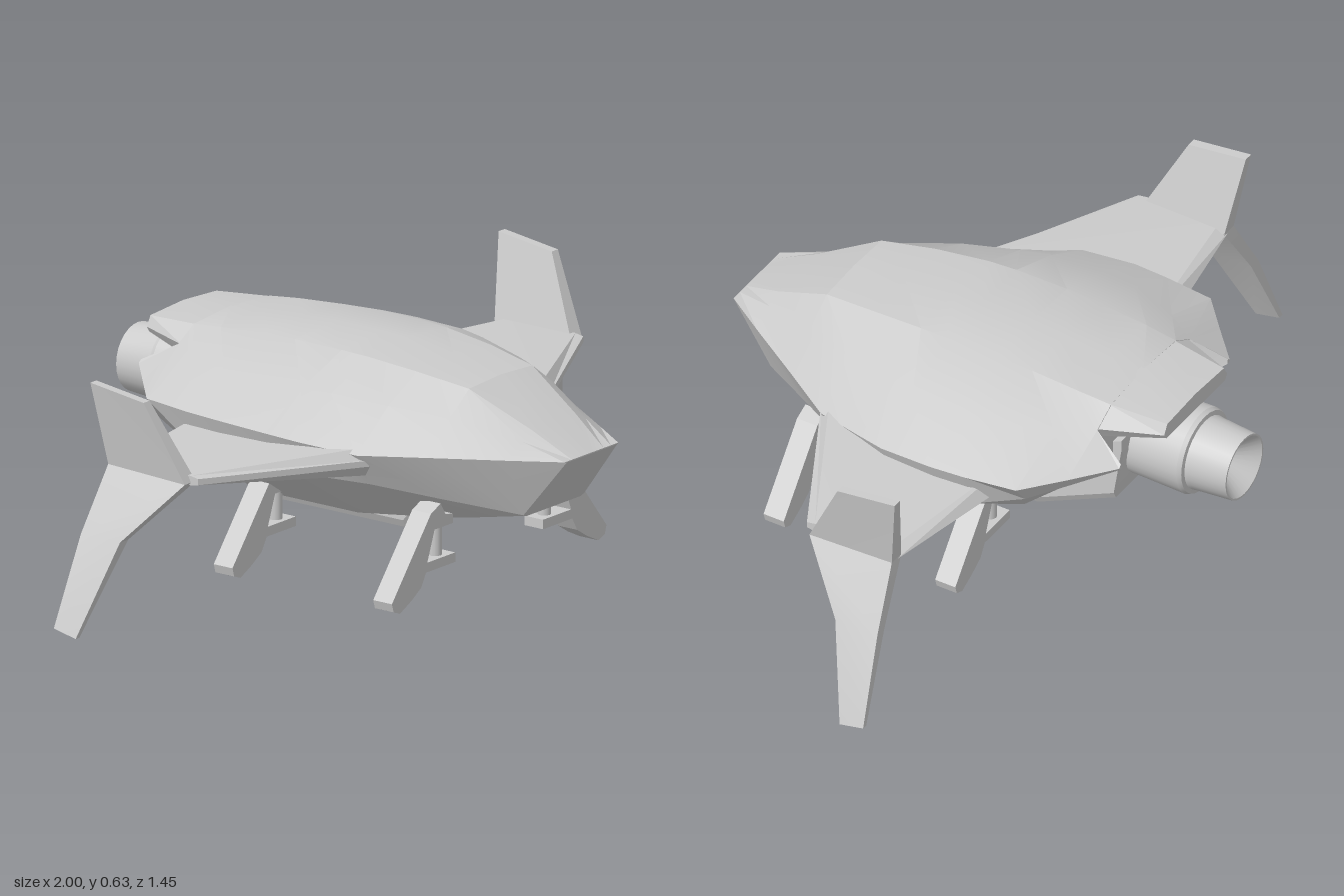
import * as THREE from 'three';
import { toCreasedNormals } from 'three/addons/utils/BufferGeometryUtils.js';

const material = new THREE.MeshStandardMaterial({ color: 0xcccccc });

function addMesh(parent, name, geometry) {
  const mesh = new THREE.Mesh(geometry, material);
  mesh.name = name;
  parent.add(mesh);
  return mesh;
}

// Skin over rings of [x, y, z] points with both ends capped, always facing outward
function loft(rings, crease = 0.3) {
  const n = rings[0].length;
  const tris = [];
  for (let r = 0; r < rings.length - 1; r++) {
    for (let i = 0; i < n; i++) {
      const j = (i + 1) % n;
      const [a, b, c, d] = [rings[r][i], rings[r][j], rings[r + 1][j], rings[r + 1][i]];
      tris.push([a, b, c], [a, c, d]);
    }
  }
  const cap = (ring, flip) => {
    const mid = [0, 1, 2].map((k) => ring.reduce((s, p) => s + p[k], 0) / n);
    ring.forEach((p, i) => {
      const q = ring[(i + 1) % n];
      tris.push(flip ? [mid, q, p] : [mid, p, q]);
    });
  };
  cap(rings[0], true);
  cap(rings[rings.length - 1], false);
  const v = (p) => new THREE.Vector3(...p);
  const volume = tris.reduce((s, [a, b, c]) => s + v(a).dot(v(b).cross(v(c))), 0);
  if (volume < 0) tris.forEach((t) => t.reverse());
  const geometry = new THREE.BufferGeometry();
  geometry.setAttribute('position', new THREE.Float32BufferAttribute(tris.flat(2), 3));
  return toCreasedNormals(geometry, crease);
}

// Closed symmetric ring from a half outline of [x, y] running from top to bottom
function symmetricRing(z, half) {
  const left = half.map(([x, y]) => [x, y, z]);
  const right = half.filter(([x]) => x > 0).reverse().map(([x, y]) => [-x, y, z]);
  return [...left, ...right];
}

const mirror = (rings, s) => rings.map((ring) => ring.map(([x, y, z]) => [x * s, y, z]));

// Hull half sections: spine, shoulder, flank, rim, chine, belly edge
const hullSections = [
  [0.72, [[0, 0.42], [0.05, 0.42], [0.08, 0.42], [0.11, 0.42], [0.1, 0.418], [0.09, 0.417]]],
  [0.6, [[0, 0.485], [0.09, 0.478], [0.13, 0.457], [0.19, 0.421], [0.125, 0.262], [0.11, 0.257]]],
  [0.43, [[0, 0.572], [0.13, 0.565], [0.21, 0.505], [0.3, 0.423], [0.24, 0.3], [0.15, 0.23]]],
  [0.28, [[0, 0.595], [0.15, 0.587], [0.27, 0.525], [0.4, 0.425], [0.345, 0.337], [0.18, 0.215]]],
  [0.13, [[0, 0.615], [0.162, 0.602], [0.31, 0.54], [0.45, 0.445], [0.41, 0.35], [0.2, 0.2]]],
  [0.05, [[0, 0.616], [0.165, 0.605], [0.33, 0.543], [0.48, 0.46], [0.44, 0.358], [0.2, 0.2]]],
  [-0.1, [[0, 0.616], [0.165, 0.606], [0.335, 0.545], [0.49, 0.47], [0.45, 0.362], [0.2, 0.2]]],
  [-0.2, [[0, 0.611], [0.162, 0.602], [0.33, 0.545], [0.483, 0.472], [0.445, 0.365], [0.2, 0.2]]],
  [-0.34, [[0, 0.603], [0.16, 0.592], [0.28, 0.545], [0.465, 0.476], [0.42, 0.42], [0.2, 0.325]]],
  [-0.43, [[0, 0.595], [0.155, 0.583], [0.22, 0.545], [0.365, 0.48], [0.34, 0.45], [0.2, 0.405]]],
];

function addWing(parent, s) {
  const side = new THREE.Group();
  side.name = s > 0 ? 'leftWing' : 'rightWing';
  parent.add(side);

  const rib = (x, front, back, low, high) => {
    const mid = (low + high) / 2;
    return [
      [x, mid + 0.008, front], [x, high, front - 0.025], [x, high, back + 0.03],
      [x, mid, back], [x, low, back + 0.03], [x, low, front - 0.025], [x, mid - 0.008, front],
    ];
  };
  const wing = [rib(0.34, 0.315, -0.265, 0.362, 0.438), rib(0.79, 0.078, -0.19, 0.398, 0.423)];
  addMesh(side, 'wingPanel', loft(mirror(wing, s)));

  // Fin station: outer and inner x, front and back y, front and back z
  const station = (outer, inner, yFront, yBack, front, back) => [
    [outer, yFront, front], [outer, yBack, back], [inner, yBack, back], [inner, yFront, front],
  ];
  const root = station(0.815, 0.77, 0.405, 0.415, 0.055, -0.19);
  const upper = [root, station(0.85, 0.825, 0.61, 0.632, -0.05, -0.22)];
  const lower = [
    root,
    station(0.908, 0.875, 0.25, 0.25, -0.08, -0.205),
    station(1, 0.985, 0.005, 0.02, -0.15, -0.22),
  ];
  addMesh(side, 'upperFin', loft(mirror(upper, s)));
  addMesh(side, 'lowerFin', loft(mirror(lower, s)));
}

// Landing leg outline in the x-y plane
const legOutline = [
  [0.24, 0.288], [0.28, 0.27], [0.44, 0.07], [0.433, 0.047], [0.407, 0.037], [0.36, 0.06],
  [0.32, 0.085], [0.3, 0.12], [0.18, 0.12], [0.18, 0.145], [0.295, 0.145], [0.265, 0.225],
  [0.19, 0.225], [0.19, 0.25], [0.22, 0.255],
].map(([x, y]) => new THREE.Vector2(x, y));

function addLeg(parent, name, s, z) {
  const leg = new THREE.Group();
  leg.name = name;
  parent.add(leg);
  const shape = new THREE.Shape(legOutline.map((p) => new THREE.Vector2(p.x * s, p.y)));
  const strut = new THREE.ExtrudeGeometry(shape, { depth: 0.06, bevelEnabled: false });
  addMesh(leg, 'legStrut', strut.translate(0, 0, z - 0.03));
  const piston = new THREE.CylinderGeometry(0.017, 0.017, 0.09, 12);
  addMesh(leg, 'legPiston', piston.translate(s * 0.224, 0.185, z));
}

export function createModel() {
  const model = new THREE.Group();
  model.name = 'spacecraft';

  addMesh(model, 'hull', loft(hullSections.map(([z, half]) => symmetricRing(z, half))));

  // Overhanging spine above the engine
  addMesh(model, 'rearSpine', loft([
    symmetricRing(-0.42, [[0, 0.596], [0.155, 0.583], [0.22, 0.545], [0.2, 0.51]]),
    symmetricRing(-0.585, [[0, 0.58], [0.135, 0.572], [0.15, 0.545], [0.14, 0.53]]),
  ]));

  // Pointed rear tips either side of the spine
  const tail = [
    [[0.22, 0.545, -0.43], [0.365, 0.48, -0.43], [0.34, 0.45, -0.43], [0.2, 0.405, -0.43]],
    [[0.255, 0.496, -0.522], [0.264, 0.488, -0.522], [0.26, 0.482, -0.522], [0.252, 0.482, -0.522]],
  ];
  for (const s of [1, -1]) addMesh(model, s > 0 ? 'leftTailTip' : 'rightTailTip', loft(mirror(tail, s)));

  // Belly pod carrying the engine
  const podRing = (z, low, high) => symmetricRing(z, [
    [0.145, high], [0.145, low + 0.02], [0.135, low],
  ]);
  addMesh(model, 'bellyPod', loft([
    podRing(0.27, 0.21, 0.25), podRing(0.23, 0.165, 0.3), podRing(-0.2, 0.165, 0.45),
    podRing(-0.432, 0.275, 0.46), podRing(-0.455, 0.42, 0.47),
  ]));

  // Engine barrel, stepped nozzle and hollow cone
  const profile = [
    [0, 0.4], [0.113, 0.4], [0.117, 0.6], [0.112, 0.612], [0.1, 0.614], [0.098, 0.625],
    [0.09, 0.73], [0.085, 0.73], [0, 0.63],
  ].map(([r, y]) => new THREE.Vector2(r, y));
  const engine = new THREE.LatheGeometry(profile, 28).rotateX(-Math.PI / 2).translate(0, 0.405, 0);
  addMesh(model, 'engine', toCreasedNormals(engine, 0.4));

  for (const s of [1, -1]) {
    addWing(model, s);
    const sideName = s > 0 ? 'Left' : 'Right';
    addLeg(model, 'front' + sideName + 'Leg', s, 0.395);
    addLeg(model, 'rear' + sideName + 'Leg', s, -0.115);
  }
  return model;
}
